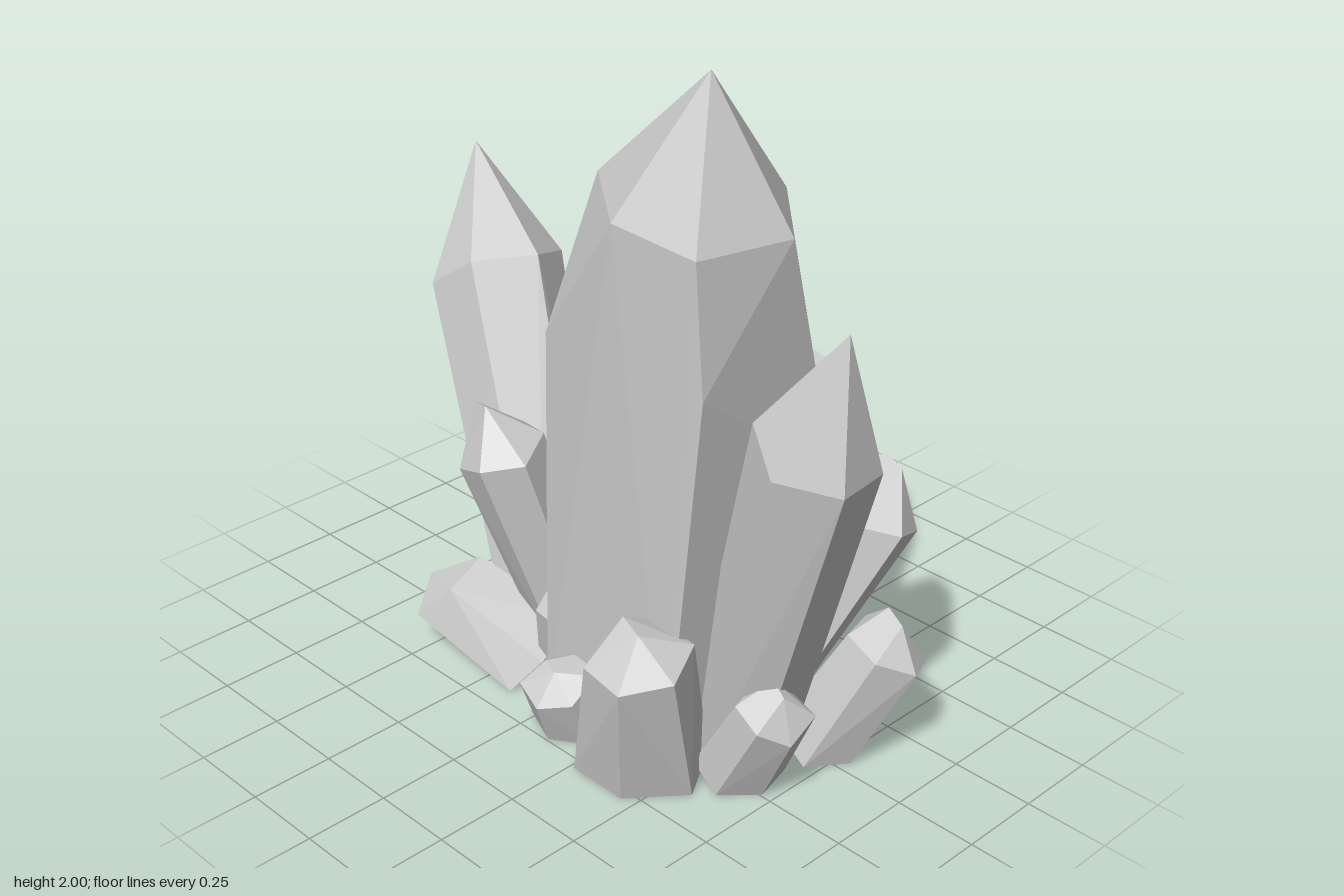
import * as THREE from 'three';
import { ConvexGeometry } from 'three/addons/geometries/ConvexGeometry.js';

const UP = new THREE.Vector3(0, 1, 0);
const material = new THREE.MeshStandardMaterial({ color: 0xcccccc, flatShading: true });

// Repeatable small irregularity in the range -1..1
const wobble = (n) => {
  const s = Math.sin(n * 12.9898) * 43758.5453;
  return (s - Math.floor(s)) * 2 - 1;
};

// Faceted solid, cut flat at the ground
function facetedSolid(name, points) {
  points.forEach((p) => { p.y = Math.max(0, p.y); });
  const mesh = new THREE.Mesh(new ConvexGeometry(points), material);
  mesh.name = name;
  return mesh;
}

// Six corners around a centre, square to the axis
function ring(centre, axis, radius, phase, seed, stagger) {
  const q = new THREE.Quaternion().setFromUnitVectors(UP, axis);
  return Array.from({ length: 6 }, (_, i) => {
    const a = phase + (i / 6) * Math.PI * 2;
    const r = radius * (1 + 0.06 * wobble(seed + i));
    return new THREE.Vector3(Math.cos(a) * r, stagger * radius * wobble(seed + i + 31), Math.sin(a) * r)
      .applyQuaternion(q).add(centre);
  });
}

// Crystal from foot (x, z) to tip; tall ones are pointed, the others end in a short ridge
function crystal(name, [footX, footZ], [x, y, z], radius, seed) {
  const foot = new THREE.Vector3(footX, 0, footZ);
  const tip = new THREE.Vector3(x, y, z);
  const axis = tip.clone().sub(foot).normalize();
  const tall = y > 1;
  const shoulder = foot.clone().lerp(tip, tall ? 0.75 : 0.82);
  const phase = 0.25 + 0.25 * wobble(seed);
  const points = [
    ...ring(foot, axis, radius * (y < 0.6 ? 1.25 : 0.82), phase, seed * 17, 0),
    ...ring(shoulder, axis, radius, phase, seed * 17 + 5, 0.22),
    tip,
  ];
  if (!tall) {
    const side = new THREE.Vector3(axis.y, -axis.x, 0.3).normalize();
    points.push(tip.clone().addScaledVector(side, -0.6 * radius).addScaledVector(axis, -0.06 * radius));
  }
  return facetedSolid(name, points);
}

// Main crystal: a broad five-cornered belt, a smaller foot of the same outline, a shoulder and a peak
function mainCrystal() {
  const belt = [[0, -0.09], [0, 0.37], [0.6, 0.38], [0.61, -0.11], [0.17, -0.2]];
  const shoulder = [[0.04, 0.1], [0.05, 0.22], [0.3, 0.41], [0.58, 0.39], [0.64, 0.1], [0.42, -0.11], [0.28, -0.11]];
  return facetedSolid('mainCrystal', [
    ...belt.map(([x, z]) => new THREE.Vector3(x * 0.83 - 0.03, 0, z * 0.83 + 0.06)),
    ...belt.map(([x, z]) => new THREE.Vector3(x, 0.95 + 0.7 * z, z)),
    ...shoulder.map(([x, z]) => new THREE.Vector3(x, 1.65 - 0.09 * x, z)),
    new THREE.Vector3(0.42, 2, 0.18),
  ]);
}

// Name, foot (x, z), tip, radius at the shoulder
const CRYSTALS = [
  // Tall leaning crystals
  ['rightSlopeCrystal', [0.51, 0.14], [0.91, 1.45, 0.19], 0.185],
  ['leftSlopeCrystal', [-0.25, 0.1], [-0.97, 1.35, -0.21], 0.2],
  ['backLeftCrystal', [-0.11, -0.05], [-0.24, 1.4, -0.47], 0.2],
  // Medium crystals
  ['frontLeftCrystal', [-0.15, 0.12], [-0.29, 0.87, 0.35], 0.135],
  ['backCrystal', [0.18, 0.05], [0.2, 0.87, -0.58], 0.165],
  ['backRightCrystal', [0.44, 0.03], [0.66, 0.77, -0.36], 0.14],
  ['frontStubCrystal', [0.38, 0.37], [0.48, 0.52, 0.49], 0.155],
  // Small crystals around the foot
  ['lowRightCrystal', [0.66, -0.07], [0.85, 0.43, -0.16], 0.12],
  ['lowRightFrontCrystal', [0.6, 0.21], [0.78, 0.35, 0.24], 0.105],
  ['lowLeftCrystal', [-0.18, 0.24], [-0.54, 0.22, 0.38], 0.145],
  ['lowFrontCrystal', [0.1, 0.37], [0.12, 0.22, 0.47], 0.11],
  ['sliverCrystal', [-0.09, 0.22], [-0.04, 0.35, 0.31], 0.075],
  ['lowBackLeftCrystal', [-0.24, -0.09], [-0.28, 0.13, -0.16], 0.13],
  ['lowBackCrystal', [0.24, -0.04], [0.2, 0.14, -0.24], 0.11],
];

export function createModel() {
  const group = new THREE.Group();
  group.name = 'crystalCluster';
  group.add(mainCrystal());
  CRYSTALS.forEach(([name, foot, tip, radius], i) => group.add(crystal(name, foot, tip, radius, i + 1)));
  return group;
}
